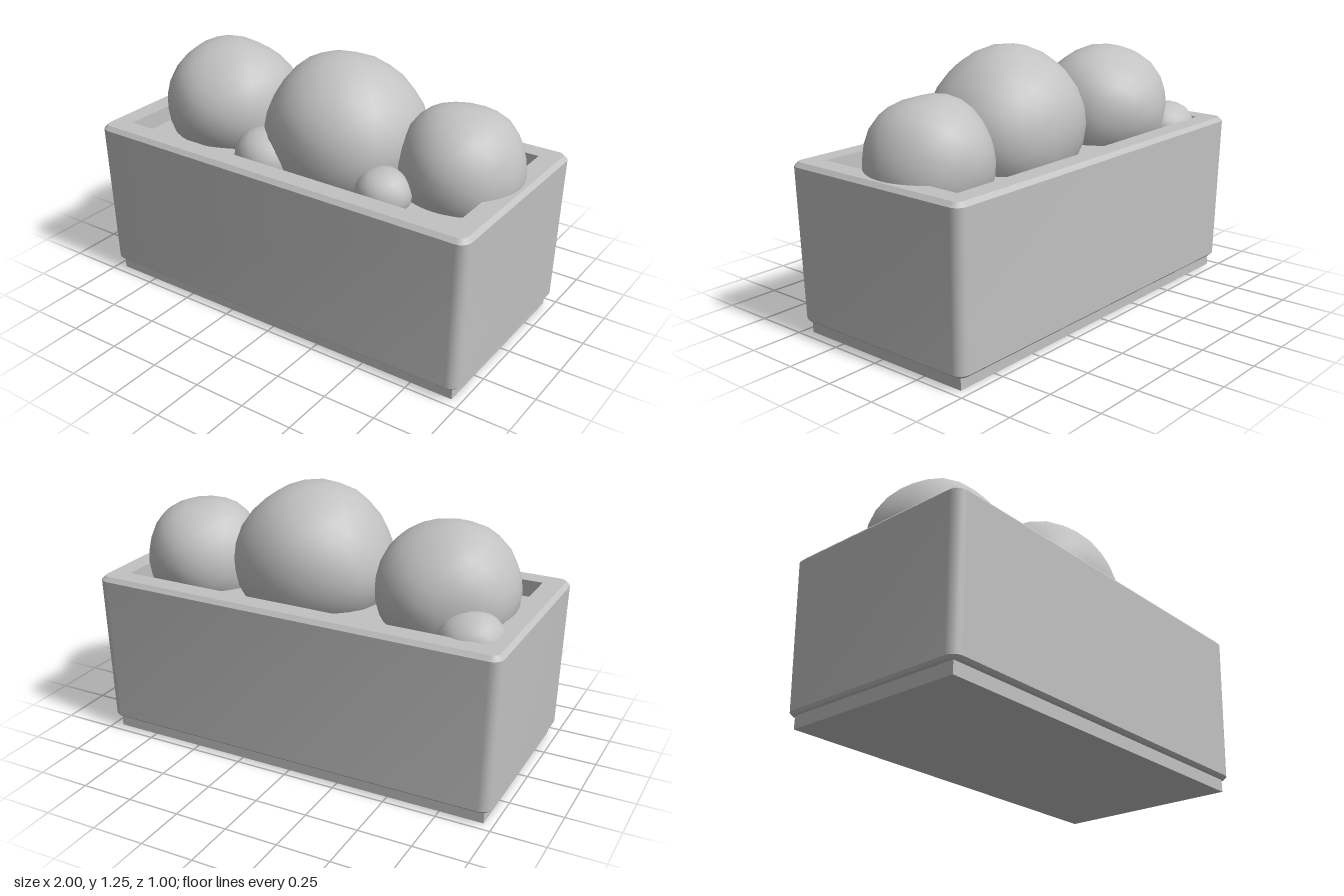
import * as THREE from 'three';
import { mergeVertices, toCreasedNormals } from 'three/addons/utils/BufferGeometryUtils.js';

const stone = new THREE.MeshStandardMaterial({ color: 0xc2c2c2 });
stone.name = 'grey';

function add(group, name, geometry, x = 0, y = 0, z = 0) {
  const mesh = new THREE.Mesh(geometry, stone);
  mesh.name = name;
  mesh.position.set(x, y, z);
  group.add(mesh);
}

// Rounded rectangle ring in the xz plane
function ring([hx, hz, r, y], steps = 5) {
  const points = [];
  const corners = [[1, 1], [-1, 1], [-1, -1], [1, -1]];
  corners.forEach(([sx, sz], c) => {
    for (let i = 0; i <= steps; i++) {
      const a = (c + i / steps) * Math.PI / 2;
      points.push(sx * (hx - r) + r * Math.cos(a), y, sz * (hz - r) + r * Math.sin(a));
    }
  });
  return points;
}

// Skin joining successive rings
function loft(sections) {
  const positions = sections.flatMap((s) => ring(s));
  const n = positions.length / 3 / sections.length;
  const index = [];
  for (let i = 0; i < sections.length - 1; i++) {
    for (let j = 0; j < n; j++) {
      const a = i * n + j, b = i * n + (j + 1) % n;
      index.push(a, a + n, b, b, a + n, b + n);
    }
  }
  const g = new THREE.BufferGeometry();
  g.setAttribute('position', new THREE.Float32BufferAttribute(positions, 3));
  g.setIndex(index);
  return toCreasedNormals(g, 0.5);
}

// Slightly lumpy ball of clipped foliage
function bushGeometry(rx, ry, rz, seed, detail) {
  let g = new THREE.IcosahedronGeometry(1, detail);
  g.deleteAttribute('normal');
  g.deleteAttribute('uv');
  g = mergeVertices(g, 1e-4);
  const p = g.attributes.position;
  const v = new THREE.Vector3();
  for (let i = 0; i < p.count; i++) {
    v.fromBufferAttribute(p, i);
    const lump = Math.sin(v.x * 4.1 + seed) * Math.sin(v.y * 3.7 + seed * 2.3) + Math.sin(v.z * 4.6 + seed * 1.7) * Math.cos(v.x * 3.1 - seed);
    v.multiplyScalar(1 + 0.022 * lump);
    p.setXYZ(i, v.x * rx, v.y * ry, v.z * rz);
  }
  g.computeVertexNormals();
  return g;
}

export function createModel() {
  const model = new THREE.Group();
  model.name = 'planter';

  // Recessed foot
  add(model, 'foot', new THREE.BoxGeometry(1.91, 0.07, 0.91), 0, 0.035, 0);

  // Tapered trough: underside, outer wall, bevelled rim, inner wall
  add(model, 'trough', loft([
    [0.93, 0.43, 0.03, 0.06],
    [0.975, 0.475, 0.04, 0.06],
    [0.985, 0.487, 0.05, 0.072],
    [1.0, 0.5, 0.05, 0.78],
    [0.982, 0.482, 0.035, 0.8],
    [0.888, 0.39, 0.002, 0.8],
    [0.884, 0.386, 0.002, 0.7],
  ]));

  add(model, 'soil', new THREE.BoxGeometry(1.78, 0.1, 0.785), 0, 0.67, 0);

  // Bushes: name, centre, radii
  [
    ['leftBush', -0.58, 0.86, -0.02, 0.33, 0.31, 0.33],
    ['middleBush', 0.11, 0.88, 0.02, 0.38, 0.365, 0.36],
    ['rightBush', 0.68, 0.83, -0.04, 0.29, 0.285, 0.285],
    ['smallFrontBush', -0.17, 0.76, 0.25, 0.16, 0.14, 0.145],
    ['smallRightBush', 0.46, 0.76, 0.25, 0.13, 0.115, 0.12],
    ['smallBackBush', -0.79, 0.76, -0.27, 0.15, 0.12, 0.14],
  ].forEach(([name, x, y, z, rx, ry, rz], i) => {
    add(model, name, bushGeometry(rx, ry, rz, i * 1.9 + 0.6, i < 3 ? 4 : 3), x, y, z);
  });

  return model;
}
